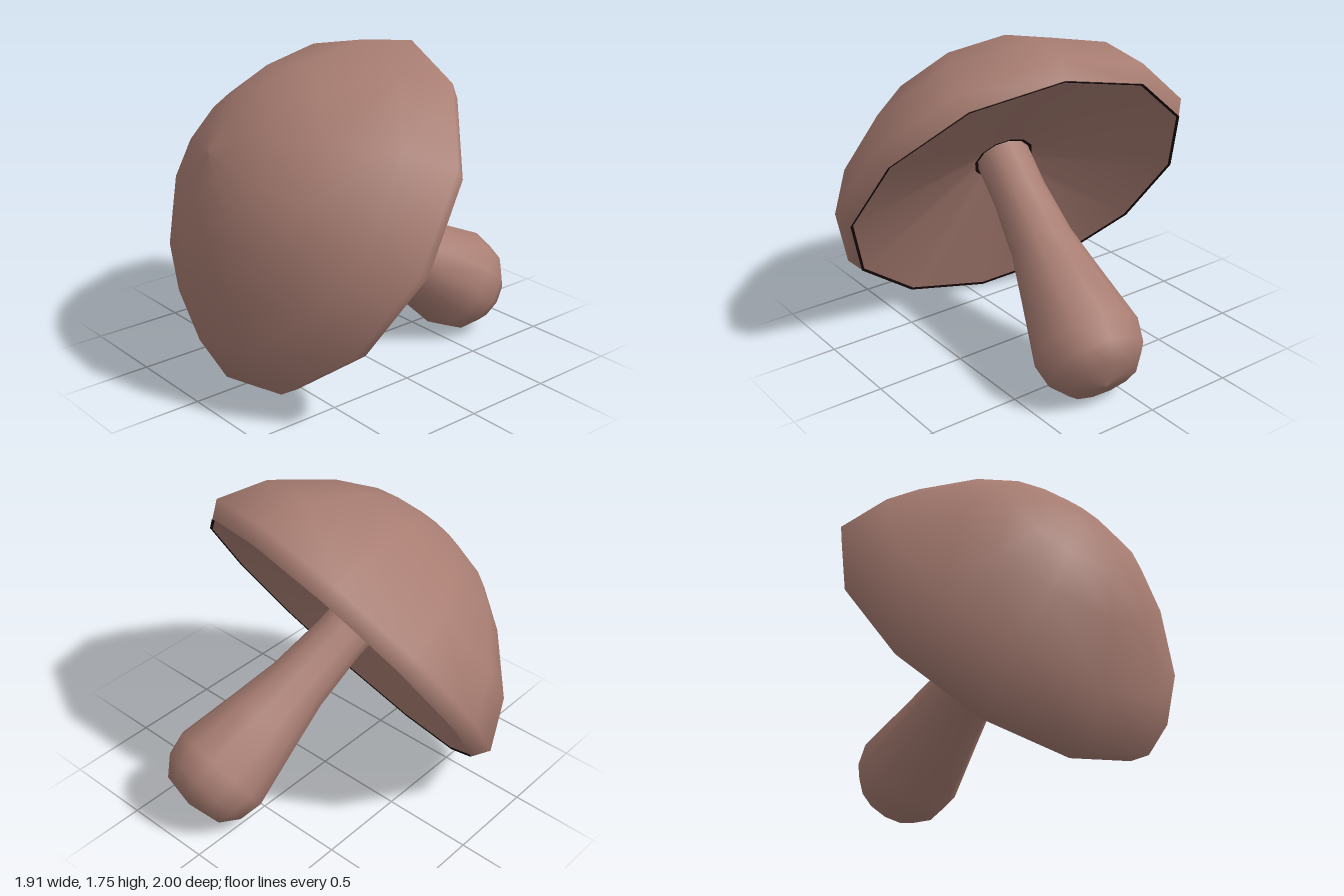
import * as THREE from 'three';

const SIDES = 12;

export function createModel() {
  const group = new THREE.Group();
  group.name = 'mushroom';

  const brown = new THREE.MeshStandardMaterial({ color: 0xa87d72 });
  brown.name = 'dusty brown';
  const dark = new THREE.MeshStandardMaterial({ color: 0x1a0a08 });
  dark.name = 'near black';

  // Turned part from a [radius, height] profile
  const turned = (name, material, profile) => {
    const points = profile.map(([r, y]) => new THREE.Vector2(r, y));
    const mesh = new THREE.Mesh(new THREE.LatheGeometry(points, SIDES), material);
    mesh.name = name;
    group.add(mesh);
  };

  // Domed cap with a bevelled lip
  turned('cap', brown, [
    [0.965, 0], [1.02, 0.09], [0.89, 0.35], [0.62, 0.61], [0.41, 0.745], [0.19, 0.808], [0, 0.83],
  ]);

  // Hollow underside of the cap
  turned('capUnderside', brown, [[0.13, 0.262], [0.965, 0]]);

  // Thin dark lines along the lip and around the top of the stem
  turned('lipLine', dark, [[0.95, 0.001], [0.966, -0.004]]);
  turned('stemLine', dark, [[0.14, 0.254], [0.172, 0.244]]);

  // Stem swelling to a rounded foot
  turned('stem', brown, [
    [0, -1.205], [0.19, -1.168], [0.265, -1.075], [0.292, -0.945],
    [0.225, -0.6], [0.175, -0.33], [0.15, 0], [0.152, 0.28],
  ]);

  // Lay the mushroom over so it rests on the cap lip and the foot
  const axis = new THREE.Vector3(-0.82, 0.55, -0.16).normalize();
  const across = new THREE.Vector3(0, 1, 0).addScaledVector(axis, -axis.y).normalize();
  const side = new THREE.Vector3().crossVectors(across, axis);
  group.quaternion.setFromRotationMatrix(new THREE.Matrix4().makeBasis(across, axis, side));
  group.position.set(-0.115, 0.813, 0.01);

  const model = new THREE.Group();
  model.name = 'model';
  model.add(group);
  return model;
}
